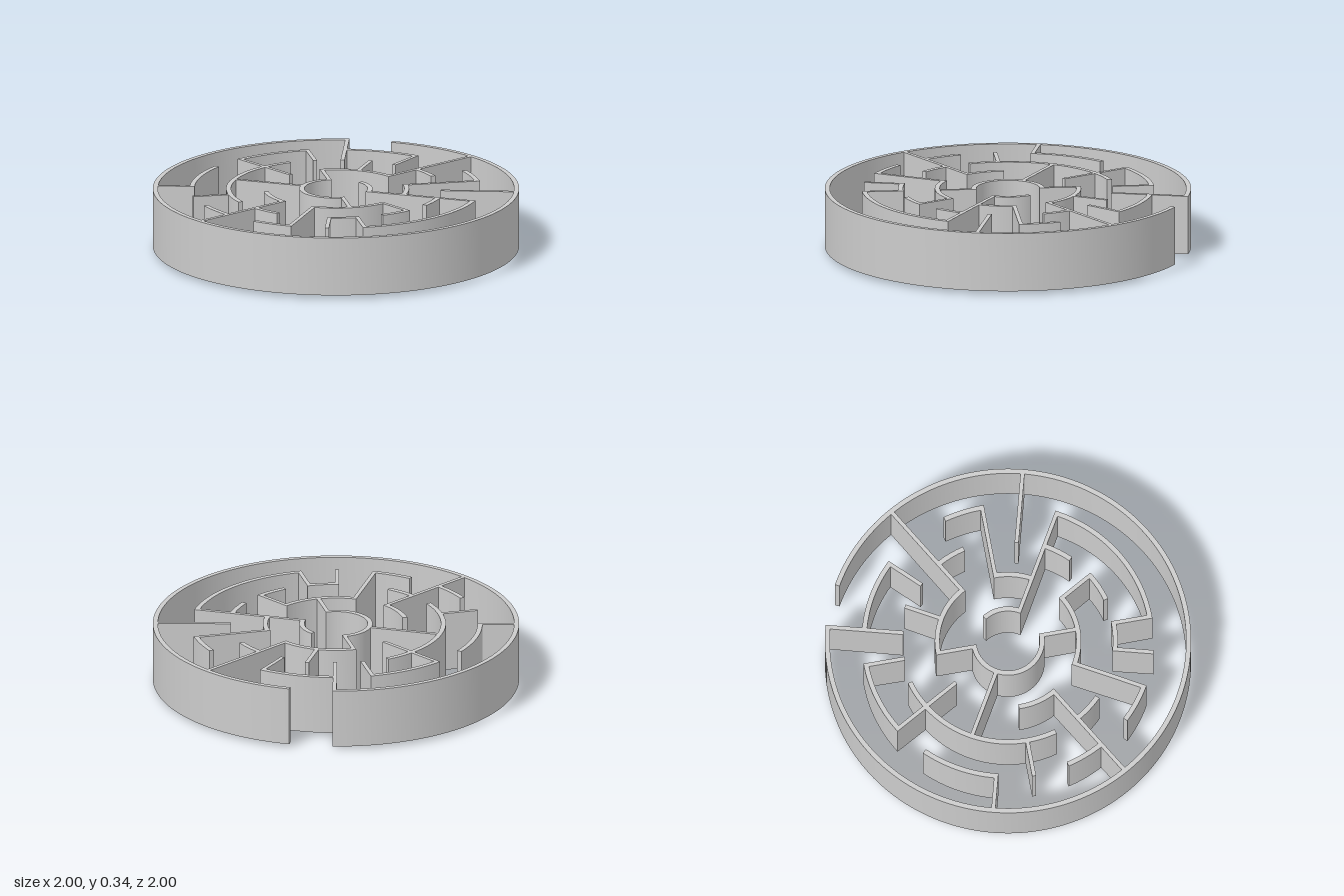
import * as THREE from 'three';
import { toCreasedNormals } from 'three/addons/utils/BufferGeometryUtils.js';

const TOP = 0.345;      // height of the wall tops
const RING_T = 0.027;   // thickness of curved walls
const SPOKE_T = 0.022;  // thickness of straight walls
const rad = THREE.MathUtils.degToRad;
const ringOuter = n => 0.2 * n;

// The underside dips slightly towards the middle
const underside = r =>
  r < 0.4 ? Math.max(0, (r - 0.2) * 0.025) : Math.min(0.02, 0.005 + (r - 0.4) * 0.043);

// Extrude a plan outline upwards and fit its lower edge to the underside
function wall(shape, name, curveSegments = 1) {
  const geo = new THREE.ExtrudeGeometry(shape, { depth: TOP, bevelEnabled: false, curveSegments });
  geo.rotateX(-Math.PI / 2);
  const p = geo.attributes.position;
  for (let i = 0; i < p.count; i++) {
    if (p.getY(i) < 0.01) p.setY(i, underside(Math.hypot(p.getX(i), p.getZ(i))));
  }
  const mesh = new THREE.Mesh(toCreasedNormals(geo, 0.5),
    new THREE.MeshStandardMaterial({ color: 0xcccccc }));
  mesh.name = name;
  return mesh;
}

// Curved wall on ring n between two angles (degrees, anticlockwise from +x)
function arcWall(n, from, to) {
  const outer = ringOuter(n), inner = outer - RING_T;
  const over = SPOKE_T / 2 / outer; // reach across the joining straight wall
  const a = rad(from) - over, b = rad(to) + over;
  const s = new THREE.Shape();
  s.absarc(0, 0, outer, a, b, false);
  s.absarc(0, 0, inner, b, a, true);
  return wall(s, `ring${n}Wall`, Math.max(6, Math.ceil((to - from) / 3)));
}

// Straight wall along an angle, from ring n to ring m
function spokeWall(angle, n, m) {
  const r0 = ringOuter(n) - RING_T, r1 = ringOuter(m) - 0.003, h = SPOKE_T / 2;
  const c = Math.cos(rad(angle)), k = Math.sin(rad(angle));
  const corners = [[r0, -h], [r1, -h], [r1, h], [r0, h]]
    .map(([r, t]) => new THREE.Vector2(r * c - t * k, r * k + t * c));
  return wall(new THREE.Shape(corners), 'straightWall');
}

export function createModel() {
  const model = new THREE.Group();
  model.name = 'circularMaze';

  // Curved walls: [ring, start angle, end angle]
  const curved = new THREE.Group();
  curved.name = 'curvedWalls';
  [
    [5, 75, 420],
    [4, 0, 15], [4, 45, 75], [4, 90, 120], [4, 135, 165], [4, 195, 210], [4, 225, 240], [4, 270, 330],
    [3, 15, 30], [3, 105, 195], [3, 210, 225], [3, 255, 270], [3, 285, 300], [3, 315, 330],
    [2, 30, 90], [2, 180, 210], [2, 240, 300], [2, 330, 360],
    [1, 90, 270], [1, -30, 30],
  ].forEach(a => curved.add(arcWall(...a)));

  // Straight walls: [angle, inner ring, outer ring]
  const straight = new THREE.Group();
  straight.name = 'straightWalls';
  [
    [0, 2, 4], [30, 2, 5], [45, 3, 4], [60, 2, 3], [75, 3, 5], [90, 1, 2], [90, 3, 4],
    [120, 2, 4], [150, 1, 3], [165, 4, 5], [180, 3, 4], [210, 2, 5], [240, 2, 4],
    [255, 3, 4], [270, 1, 2], [270, 3, 4], [300, 2, 3], [330, 1, 4], [345, 3, 5],
  ].forEach(s => straight.add(spokeWall(...s)));

  model.add(curved, straight);
  return model;
}
